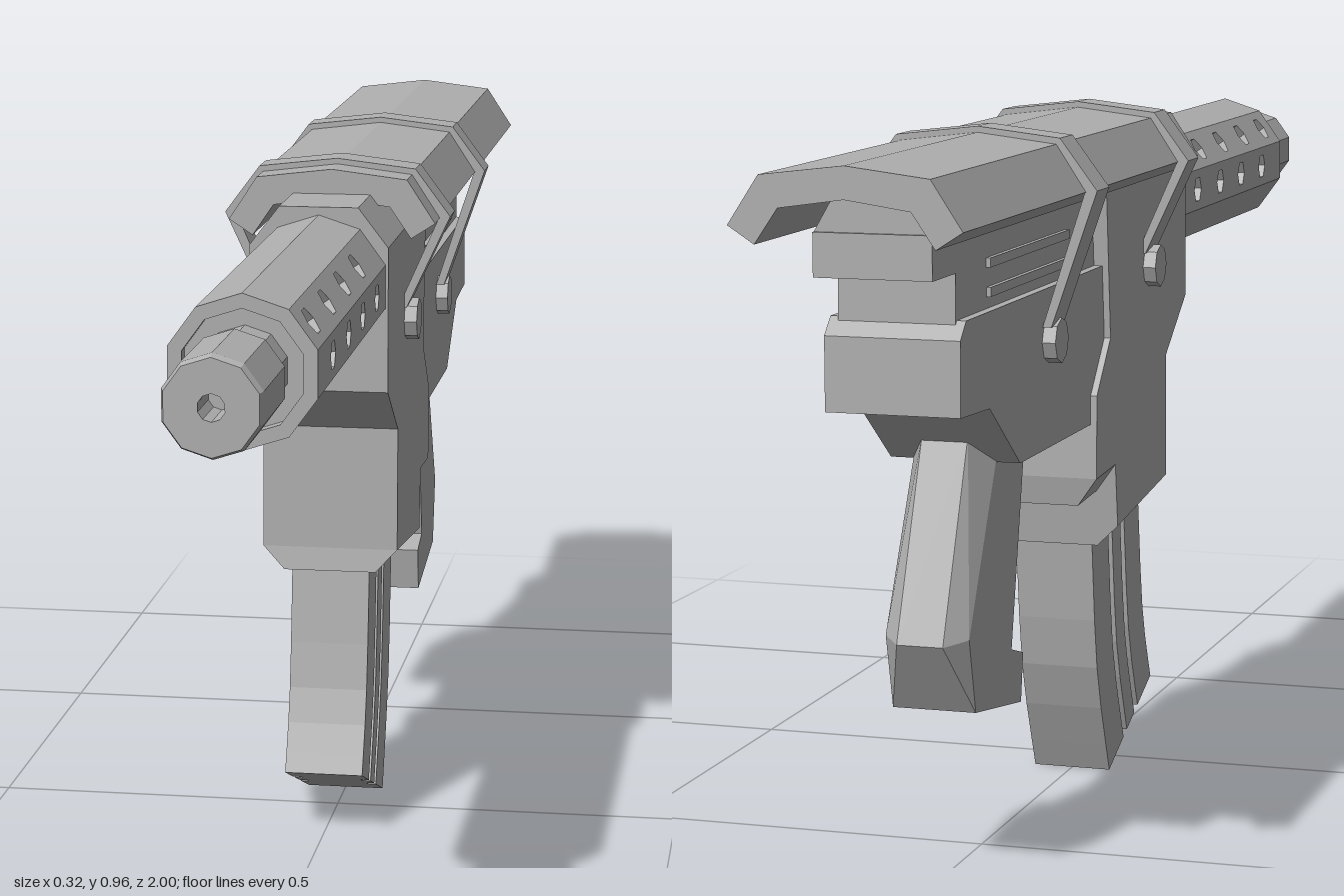
import * as THREE from 'three';

export function createModel() {
  const model = new THREE.Group();
  const metal = new THREE.MeshStandardMaterial({ color: 0xb0b0b0 });
  metal.name = 'grey metal';

  const add = (geo, name, parent = model) => {
    const g = geo.index ? geo.toNonIndexed() : geo;
    g.computeVertexNormals();
    const mesh = new THREE.Mesh(g, metal);
    mesh.name = name;
    parent.add(mesh);
    return mesh;
  };
  const shapeOf = (pts) => new THREE.Shape(pts.map(([x, y]) => new THREE.Vector2(x, y)));

  // Side profile of [z, y] points, widened to +-half; taper(z, y) scales the width
  const prism = (name, pts, half, taper) => {
    const g = new THREE.ExtrudeGeometry(shapeOf(pts), { depth: half * 2, bevelEnabled: false });
    g.translate(0, 0, -half);
    g.rotateY(-Math.PI / 2);
    if (taper) {
      const p = g.attributes.position;
      for (let i = 0; i < p.count; i++) p.setX(i, p.getX(i) * taper(p.getZ(i), p.getY(i)));
    }
    return add(g, name);
  };

  // Half outline of [x, y] points mirrored in x, running from z0 to z1
  const channel = (name, right, z0, z1) => {
    const left = right.map(([x, y]) => [-x, y]).reverse().filter(([x]) => Math.abs(x) > 1e-6);
    const centreTop = right[0][0] === 0 ? right : [[0, right[0][1]], ...right];
    const g = new THREE.ExtrudeGeometry(shapeOf([...centreTop, ...left]), { depth: z1 - z0, bevelEnabled: false });
    g.translate(0, 0, z0);
    return add(g, name);
  };

  // Barrel with bored muzzle
  const axisY = 0.816, sides = 10;
  const barrel = new THREE.LatheGeometry([
    [0.055, 0.1], [0.055, 0.83], [0.064, 0.842], [0.064, 0.99], [0.06, 1], [0.017, 1], [0.017, 0.93], [0, 0.93],
  ].map(([r, z]) => new THREE.Vector2(r, z)), sides);
  barrel.rotateX(Math.PI / 2);
  add(barrel, 'barrel').position.y = axisY;

  // Ten-sided jacket made of panels, vented on the upper side faces
  const jacket = new THREE.Group();
  jacket.name = 'barrelJacket';
  jacket.position.y = axisY;
  model.add(jacket);
  const R = 0.098, apothem = R * Math.cos(Math.PI / sides), halfFace = R * Math.sin(Math.PI / sides);
  for (let i = 0; i < sides; i++) {
    const panel = shapeOf([[-0.79, -halfFace], [-0.15, -halfFace], [-0.15, halfFace], [-0.79, halfFace]]);
    const vents = i === 0 || i === 5 ? [0.665, 0.53, 0.4, 0.265] : i === 1 || i === 4 ? [0.73, 0.6, 0.467, 0.335] : [];
    for (const z of vents) {
      const hole = new THREE.Path();
      for (let k = 0; k < 6; k++) {
        const a = -k * Math.PI / 3;
        const x = -z + 0.02 * Math.cos(a), y = 0.02 * Math.sin(a);
        k ? hole.lineTo(x, y) : hole.moveTo(x, y);
      }
      hole.closePath();
      panel.holes.push(hole);
    }
    const g = new THREE.ExtrudeGeometry(panel, { depth: 0.018, bevelEnabled: false });
    g.translate(0, 0, apothem - 0.018);
    g.rotateY(Math.PI / 2);
    g.rotateZ(i * Math.PI * 2 / sides);
    add(g, 'jacketPanel', jacket);
  }
  const plug = new THREE.CylinderGeometry(0.088, 0.088, 0.01, sides);
  plug.rotateX(Math.PI / 2);
  add(plug, 'jacketEndPlate', jacket).position.z = 0.765;

  // Front receiver and magazine well
  prism('frontReceiver', [
    [0.18, 0.87], [0.18, 0.667], [0.072, 0.592], [0.075, 0.415], [-0.18, 0.385], [-0.192, 0.475],
    [-0.285, 0.47], [-0.283, 0.585], [-0.217, 0.656], [-0.238, 0.87],
  ], 0.097);
  channel('receiverTop', [[0, 0.925], [0.055, 0.925], [0.097, 0.87], [0, 0.87]].slice(0, 3), -0.235, 0.18);
  prism('wellRim', [[0.075, 0.415], [-0.18, 0.385], [-0.176, 0.355], [0.08, 0.382]], 0.097,
    (z, y) => (y < 0.383 ? 0.68 : 1));
  prism('guardLump', [[-0.192, 0.475], [-0.285, 0.47], [-0.277, 0.43], [-0.185, 0.435]], 0.097,
    (z, y) => (y < 0.45 ? 0.7 : 1));

  // Rear receiver
  prism('lowerRearReceiver', [
    [-0.21, 0.757], [-0.21, 0.545], [-0.6, 0.545], [-0.725, 0.635], [-0.838, 0.64], [-0.838, 0.735], [-0.815, 0.757],
  ], 0.088);
  prism('upperRearReceiver', [[-0.21, 0.87], [-0.21, 0.75], [-0.82, 0.75], [-0.82, 0.815], [-0.905, 0.815], [-0.905, 0.87]], 0.076);
  channel('rearTop', [[0, 0.915], [0.05, 0.915], [0.076, 0.87]], -0.9, -0.2);
  for (const s of [-1, 1]) {
    add(new THREE.BoxGeometry(0.008, 0.012, 0.34), 'sideRail').position.set(s * 0.078, 0.815, -0.53);
    add(new THREE.BoxGeometry(0.008, 0.012, 0.34), 'sideRail').position.set(s * 0.078, 0.778, -0.53);
  }

  // Long top cover and the two straps that hold it
  channel('topCover', [
    [0, 0.96], [0.107, 0.947], [0.147, 0.886], [0.113, 0.864], [0.083, 0.908], [0, 0.92],
  ], -1, 0.06);
  [[-0.022, 0.735, 0.115], [-0.475, 0.688, 0.106]].forEach(([z, boltY, boltX]) => {
    const foot = boltY + 0.02;
    channel('strap', [
      [0, 0.968], [0.112, 0.955], [0.162, 0.888], [0.1, foot], [0.088, foot],
      [0.145, 0.884], [0.105, 0.945], [0, 0.957],
    ], z - 0.028, z + 0.028);
    for (const s of [-1, 1]) {
      const bolt = new THREE.CylinderGeometry(0.03, 0.03, 0.04, 8);
      bolt.rotateZ(Math.PI / 2);
      add(bolt, 'strapBolt').position.set(s * (boltX - 0.02), boltY, z);
    }
  });

  // Curved magazine: strips between a front and a back curve, alternating rib and groove
  const curve = (pts) => new THREE.SplineCurve(pts.map(([z, y]) => new THREE.Vector2(z, y))).getPoints(6);
  const front = curve([[0.067, 0.4], [0.095, 0.21], [0.14, 0.095]]);
  const back = curve([[-0.17, 0.37], [-0.143, 0.17], [-0.08, 0.005]]);
  const line = (s) => front.map((f, i) => [f.x + (back[i].x - f.x) * s, f.y + (back[i].y - f.y) * s]);
  const cuts = [0, 0.32, 0.4, 0.58, 0.66, 1];
  for (let i = 0; i < 5; i++) {
    prism(i % 2 ? 'magazineGroove' : 'magazineRib', [...line(cuts[i]), ...line(cuts[i + 1]).reverse()], i % 2 ? 0.044 : 0.056);
  }

  // Trigger and grip with chamfered back
  prism('trigger', [[-0.43, 0.56], [-0.428, 0.455], [-0.485, 0.458], [-0.5, 0.56]], 0.025);
  prism('grip', [
    [-0.48, 0.56], [-0.54, 0.285], [-0.49, 0.27], [-0.5, 0.205], [-0.69, 0.235], [-0.715, 0.335], [-0.59, 0.57],
  ], 0.056);
  prism('gripBack', [[-0.59, 0.57], [-0.715, 0.335], [-0.745, 0.33], [-0.64, 0.585]], 0.056,
    (z, y) => (z < -0.72 || y > 0.58 ? 0.55 : 1));
  prism('gripHeel', [[-0.715, 0.335], [-0.69, 0.235], [-0.745, 0.33]], 0.056, (z) => (z < -0.72 ? 0.55 : 1));

  return model;
}
